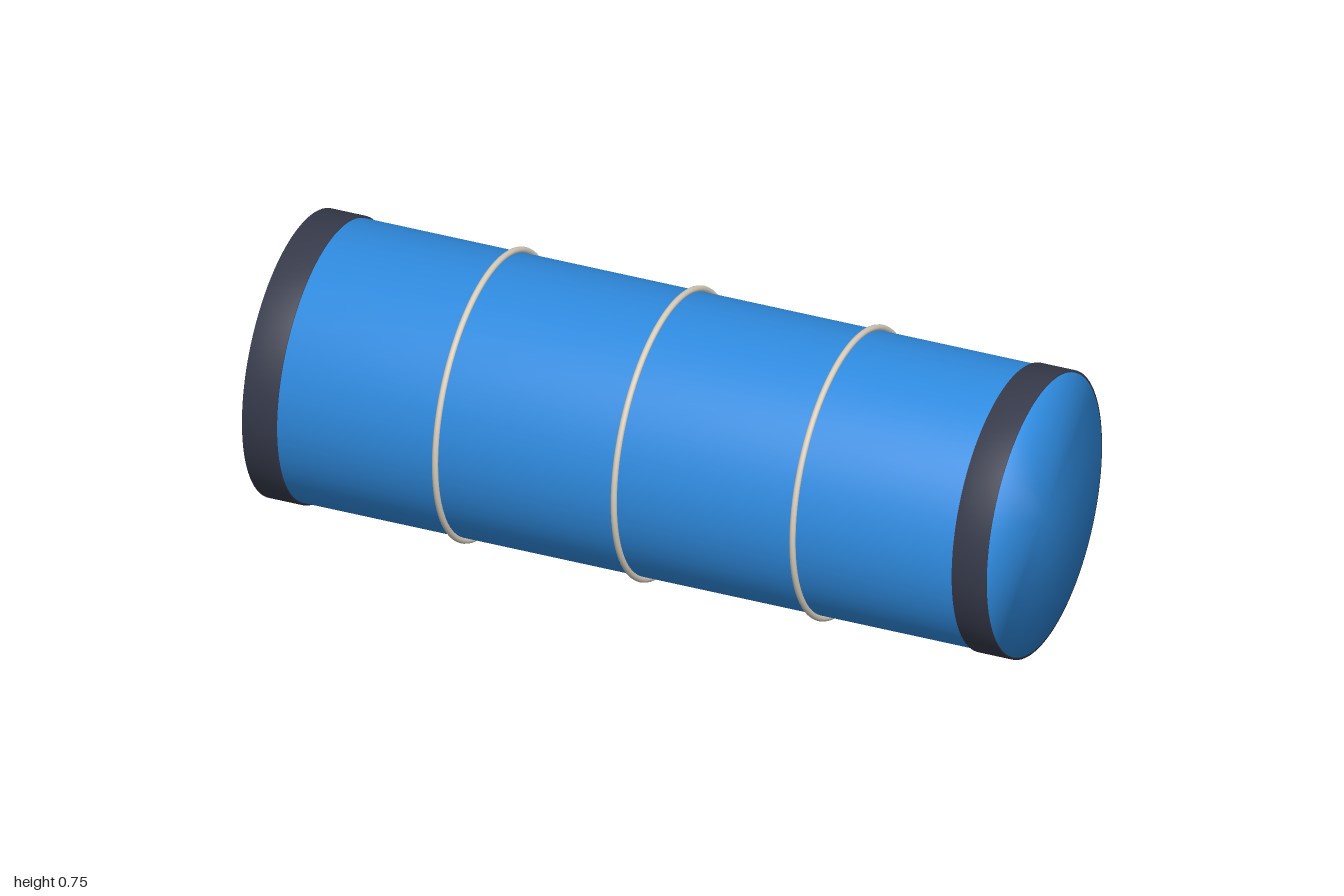
import * as THREE from 'three';
import { mergeVertices } from 'three/addons/utils/BufferGeometryUtils.js';

const AXIS_Y = 0.375;
const BODY_R = 0.36;
const COLLAR_R = 0.366;

export function createModel() {
  const model = new THREE.Group();
  model.name = 'bandedTube';

  const blue = new THREE.MeshStandardMaterial({ color: 0x2f8be0 });
  blue.name = 'blue';
  const charcoal = new THREE.MeshStandardMaterial({ color: 0x363a4a });
  charcoal.name = 'charcoal';
  const cream = new THREE.MeshStandardMaterial({ color: 0xd6cebe });
  cream.name = 'cream';

  const add = (name, geometry, material, x) => {
    const mesh = new THREE.Mesh(geometry, material);
    mesh.name = name;
    mesh.position.set(x, AXIS_Y, 0);
    model.add(mesh);
  };

  // Closed body along x, with normals shared across the rims
  let body = new THREE.CylinderGeometry(BODY_R, BODY_R, 2, 96);
  body.deleteAttribute('normal');
  body.deleteAttribute('uv');
  body = mergeVertices(body);
  body.computeVertexNormals();
  body.rotateZ(-Math.PI / 2);
  add('body', body, blue, 0);

  // Collar wrapped around each end
  const profile = [
    [BODY_R - 0.005, -0.046],
    [COLLAR_R, -0.046],
    [COLLAR_R, 0.046],
    [BODY_R - 0.005, 0.046],
  ].map(([r, y]) => new THREE.Vector2(r, y));
  const collar = new THREE.LatheGeometry(profile, 96).rotateZ(-Math.PI / 2);
  add('leftCollar', collar, charcoal, 0.953);
  add('rightCollar', collar, charcoal, -0.953);

  // Three thin hoops around the body
  const hoop = new THREE.TorusGeometry(0.367, 0.008, 12, 96).rotateY(Math.PI / 2);
  [['rightHoop', -0.48], ['middleHoop', 0], ['leftHoop', 0.48]].forEach(([name, x]) =>
    add(name, hoop, cream, x));

  return model;
}
